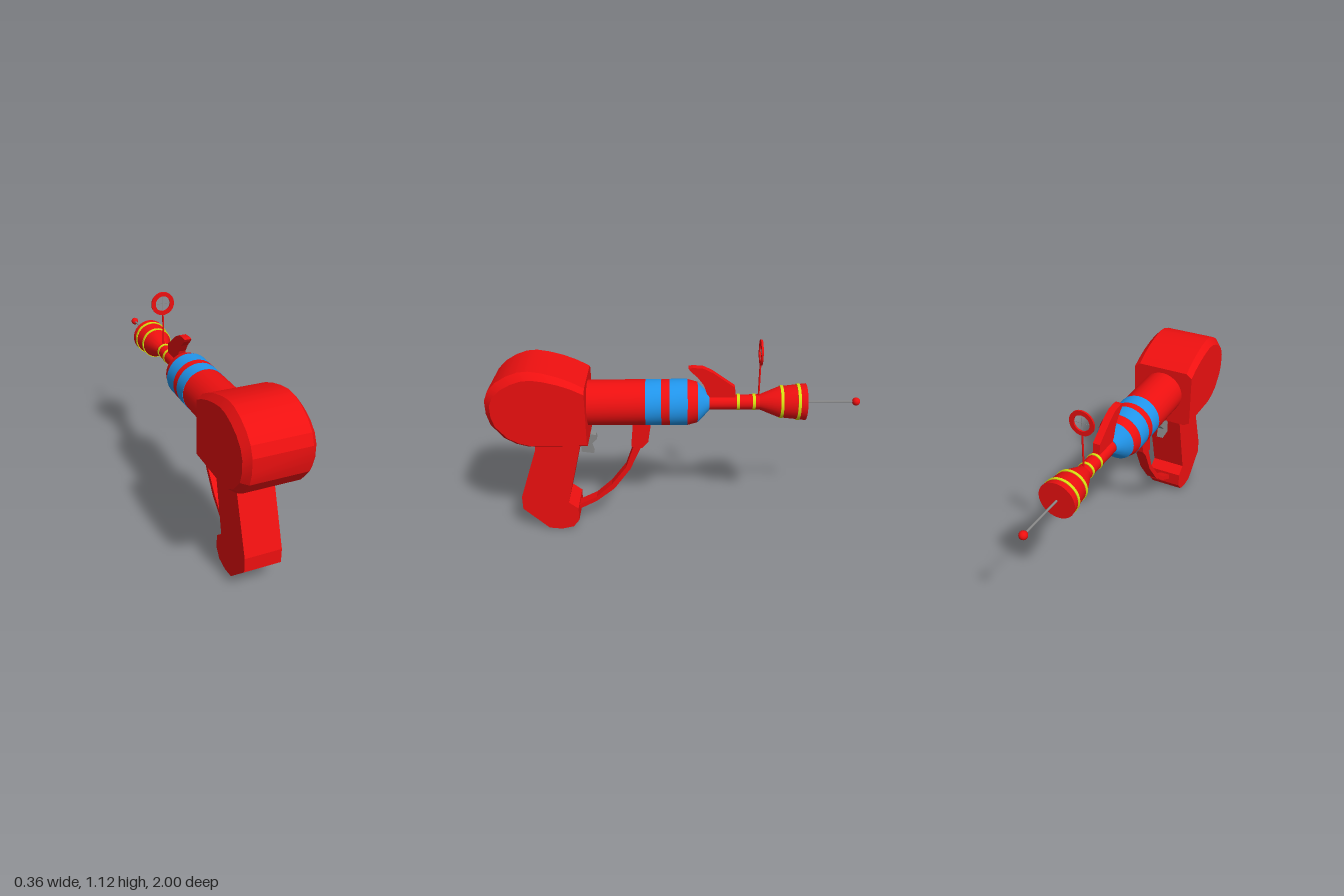
import * as THREE from 'three';
import { toCreasedNormals } from 'three/addons/utils/BufferGeometryUtils.js';

const AXIS_Y = 0.773; // height of the barrel axis

export function createModel() {
  const model = new THREE.Group();
  const mat = (color) => new THREE.MeshStandardMaterial({ color });
  const red = mat(0xee1010), blue = mat(0x2196ec), yellow = mat(0xd8e010), grey = mat(0x888888);

  const add = (name, geometry, material, parent = model) => {
    const mesh = new THREE.Mesh(geometry, material);
    mesh.name = name;
    parent.add(mesh);
    return mesh;
  };

  // Side profile given as [z, y], extruded across x and centred
  const slab = (points, width, steps = 1) => {
    const shape = new THREE.Shape(points.map(([z, y]) => new THREE.Vector2(-z, y)));
    const g = new THREE.ExtrudeGeometry(shape, { depth: width, steps, bevelEnabled: false });
    return g.rotateY(Math.PI / 2).translate(-width / 2, 0, 0);
  };

  // Turned part along the barrel axis, profile as [z, radius] from rear to muzzle
  const turned = (points, segments = 32) => {
    const g = new THREE.LatheGeometry(points.map(([z, r]) => new THREE.Vector2(r, -z)), segments);
    return toCreasedNormals(g.rotateX(-Math.PI / 2).translate(0, AXIS_Y, 0), 0.35);
  };

  // Rear housing: rounded profile with chamfered sides
  const housing = slab([
    [0.475, 0.585], [0.79, 0.582], [0.855, 0.6], [0.917, 0.636], [0.98, 0.716], [0.997, 0.78],
    [0.997, 0.855], [0.975, 0.91], [0.93, 0.957], [0.87, 0.993], [0.81, 1.015], [0.755, 1.02],
    [0.69, 1.01], [0.61, 0.988], [0.54, 0.96], [0.475, 0.925],
  ], 0.36, 3);
  const p = housing.attributes.position;
  for (let i = 0; i < p.count; i++) {
    const x = p.getX(i);
    if (Math.abs(x) < 0.1) p.setX(i, Math.sign(x) * 0.148);
    else {
      p.setY(i, 0.74 + (p.getY(i) - 0.74) * 0.87);
      p.setZ(i, 0.483 + (p.getZ(i) - 0.483) * 0.94);
    }
  }
  add('housing', toCreasedNormals(housing, 0.3), red);

  // Pistol grip
  add('grip', slab([
    [0.77, 0.62], [0.77, 0.535], [0.875, 0.225], [0.875, 0.145], [0.735, 0.012], [0.665, 0.004],
    [0.595, 0.02], [0.56, 0.065], [0.56, 0.145], [0.612, 0.187], [0.555, 0.43], [0.51, 0.62],
  ], 0.2), red);

  // Trigger, guard mount and guard
  add('trigger', slab([
    [0.53, 0.6], [0.445, 0.58], [0.44, 0.555], [0.475, 0.52], [0.46, 0.465], [0.53, 0.475],
  ], 0.04), grey);
  add('guardMount', slab([
    [0.235, 0.68], [0.135, 0.68], [0.155, 0.545], [0.19, 0.505], [0.25, 0.515],
  ], 0.07), red);
  add('triggerGuard', slab([
    [0.19, 0.52], [0.26, 0.365], [0.355, 0.235], [0.46, 0.15], [0.6, 0.075],
    [0.6, 0.108], [0.46, 0.178], [0.37, 0.262], [0.285, 0.375], [0.235, 0.52],
  ], 0.06), red);

  // Main barrel with its coloured bands
  add('mainBarrel', turned([[0.5, 0.124], [0.165, 0.124]]), red);
  [[0.165, 0.08, blue], [0.08, 0.035, red], [0.035, -0.06, blue]].forEach(([a, b, m], i) =>
    add('barrelBand' + (i + 1), turned([[a, 0.12], [a, 0.126], [b, 0.126], [b, 0.12]]), m));
  add('barrelShoulder', turned([[-0.06, 0.125], [-0.115, 0.11]]), red);
  add('barrelTip', turned([[-0.115, 0.11], [-0.145, 0.08], [-0.178, 0.045], [-0.178, 0]]), blue);

  // Thin barrel and flared muzzle
  add('muzzle', turned([
    [-0.17, 0.041], [-0.45, 0.041], [-0.555, 0.084], [-0.7, 0.1], [-0.7, 0],
  ]), red);
  for (const [z, r] of [[-0.335, 0.041], [-0.42, 0.041], [-0.567, 0.086], [-0.657, 0.096]]) {
    const a = z + 0.008, b = z - 0.008;
    add('muzzleRing', turned([[a, r - 0.005], [a, r + 0.003], [b, r + 0.004], [b, r - 0.005]]), yellow);
  }

  // Antenna
  const rod = new THREE.CylinderGeometry(0.006, 0.006, 0.29, 10).rotateX(Math.PI / 2);
  add('antennaRod', rod.translate(0, AXIS_Y, -0.835), grey);
  add('antennaBall', new THREE.SphereGeometry(0.022, 18, 12).translate(0, AXIS_Y, -0.977), red);

  // Swept fin above the thin barrel
  add('fin', slab([
    [-0.16, 0.79], [-0.32, 0.79], [-0.315, 0.866], [-0.195, 0.952], [-0.145, 0.977], [-0.09, 0.982],
    [-0.065, 0.978], [-0.075, 0.962], [-0.115, 0.925], [-0.148, 0.88], [-0.165, 0.83],
  ], 0.04), red);

  // Ring sight with post and crosshair
  const sight = new THREE.Group();
  sight.name = 'sight';
  sight.position.set(0, 1.06, -0.445);
  model.add(sight);
  const ring = new THREE.Shape().absarc(0, 0, 0.068, 0, Math.PI * 2, false);
  ring.holes.push(new THREE.Path().absarc(0, 0, 0.044, 0, Math.PI * 2, true));
  const ringGeo = new THREE.ExtrudeGeometry(ring, { depth: 0.01, bevelEnabled: false, curveSegments: 24 });
  add('sightRing', toCreasedNormals(ringGeo.translate(0, 0, -0.005), 0.5), red, sight);
  add('sightPost', new THREE.CylinderGeometry(0.005, 0.005, 0.22, 8).translate(0, -0.16, 0), red, sight);
  add('crosshairBar', new THREE.BoxGeometry(0.09, 0.002, 0.002), grey, sight);
  add('crosshairPost', new THREE.BoxGeometry(0.002, 0.09, 0.002), grey, sight);

  return model;
}
